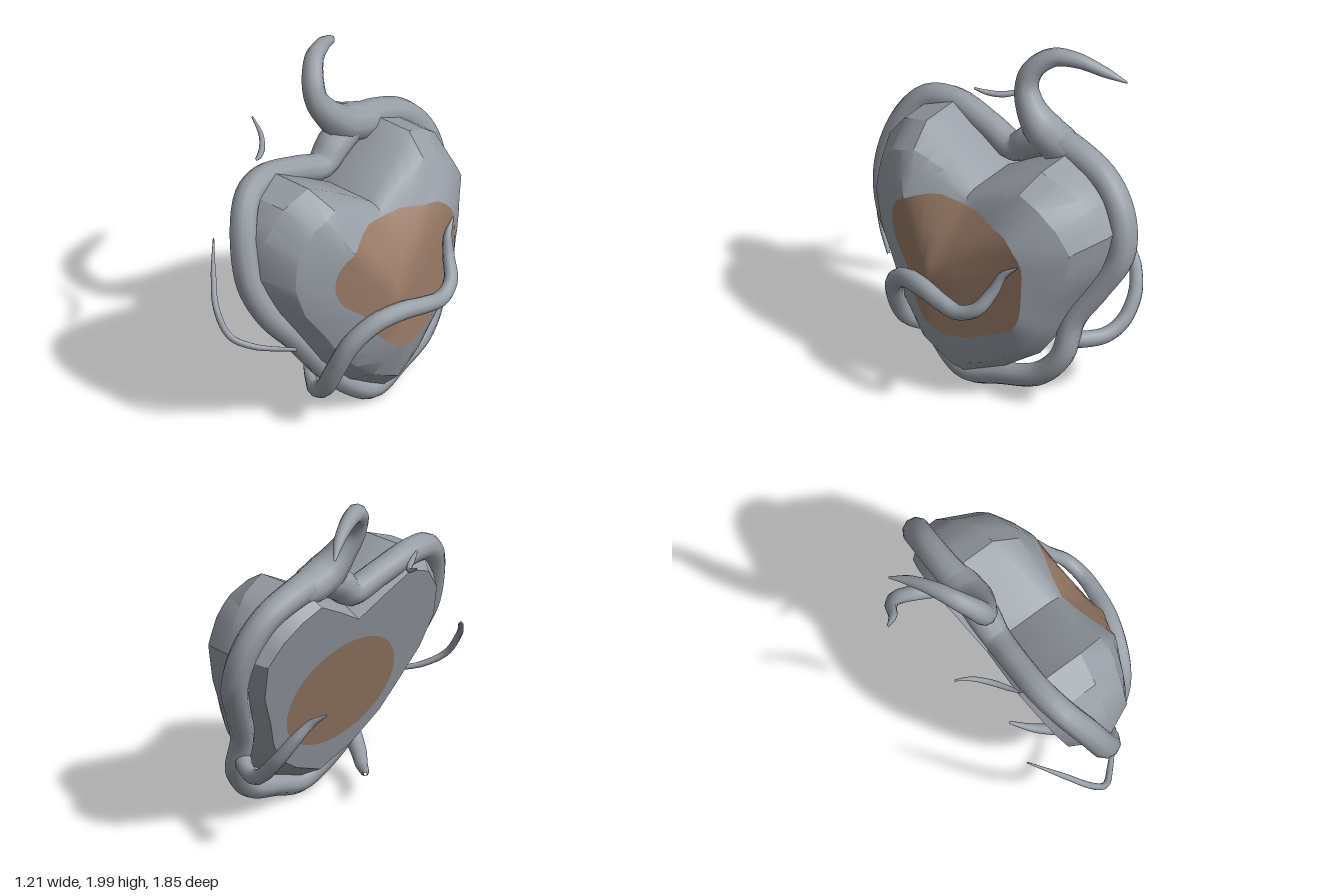
import * as THREE from 'three';
import { toCreasedNormals } from 'three/addons/utils/BufferGeometryUtils.js';

const stone = new THREE.MeshStandardMaterial({ color: 0x989ea6 });
stone.name = 'grey stone';
const rust = new THREE.MeshStandardMaterial({ color: 0x9a7b68 });
rust.name = 'rusty brown';

// Heart rim (z, y, x) with the matching corner of the painted patch (z, y)
const OUTLINE = [
  [0, 1.28, 0.18, 0, 1.22], [0.2, 1.4, 0.1, 0.15, 1.245], [0.42, 1.52, 0.08, 0.3, 1.2],
  [0.6, 1.45, 0.05, 0.4, 1.14], [0.73, 1.28, 0.02, 0.46, 1.06], [0.77, 1.05, 0.03, 0.47, 0.95],
  [0.71, 0.82, 0.06, 0.42, 0.84], [0.58, 0.6, 0.1, 0.3, 0.74], [0.46, 0.41, 0.15, 0.25, 0.62],
  [0.25, 0.22, 0.22, 0.12, 0.5], [0, 0.1, 0.28, 0, 0.44], [-0.25, 0.2, 0.22, -0.13, 0.46],
  [-0.45, 0.33, 0.15, -0.3, 0.53], [-0.56, 0.5, 0.1, -0.43, 0.6], [-0.64, 0.68, 0.05, -0.48, 0.72],
  [-0.77, 0.92, 0, -0.49, 0.88], [-0.82, 1.18, 0, -0.49, 1.03], [-0.72, 1.34, 0.03, -0.44, 1.12],
  [-0.58, 1.45, 0.08, -0.36, 1.19], [-0.42, 1.52, 0.1, -0.26, 1.2], [-0.2, 1.4, 0.14, -0.12, 1.23],
];
const lerp = THREE.MathUtils.lerp;
const clamp = THREE.MathUtils.clamp;

// Tilted flat back and faceted front of the heart
const backX = (y) => 0.1 - 0.3 * y;
function frontX(z, y) {
  const facets = Math.min(
    0.487,
    0.485 - 0.44 * (z - 0.12),
    0.485 + 0.17 * (z - 0.12),
    0.485 - 0.468 * (y - 0.95),
    0.485 + 0.78 * (y - 0.35)
  );
  const fold = Math.max(0, 1 - Math.abs(z) / 0.35) * clamp((y - 0.85) / 0.37, 0, 1);
  return facets - 0.085 * fold;
}

// Rings of points from the back centre, over the rim, to the front centre
function heartRings() {
  const n = OUTLINE.length;
  const steps = n * 2;
  const patchCurve = new THREE.CatmullRomCurve3(
    OUTLINE.map((o) => new THREE.Vector3(0, o[4], o[3])), true);
  const rings = Array.from({ length: 11 }, () => []);
  for (let i = 0; i < steps; i++) {
    const a = OUTLINE[i >> 1];
    const b = OUTLINE[((i >> 1) + 1) % n];
    const f = (i % 2) / 2;
    const [z, y, x] = [0, 1, 2].map((k) => lerp(a[k], b[k], f));
    const p = patchCurve.getPoint(i / steps);
    const angle = Math.atan2(p.y - 0.85, p.z);
    const ez = 0.43 * Math.cos(angle);
    const ey = 0.73 + 0.34 * Math.sin(angle);
    const plateY = lerp(0.8, y, 0.86);
    const px = frontX(p.z, p.y);
    const slope = (k) => [lerp(x, px, k ** 0.42), lerp(y, p.y, k), lerp(z, p.z, k)];
    const inner = (k) => {
      const zz = lerp(p.z, 0.1, k);
      const yy = lerp(p.y, 0.75, k);
      return [frontX(zz, yy), yy, zz];
    };
    [
      [backX(0.73), 0.73, 0], [backX(ey), ey, ez], [backX(plateY), plateY, z * 0.88],
      [backX(y) + 0.15, y, z], [x, y, z], slope(0.3), slope(0.65),
      [px, p.y, p.z], inner(0.35), inner(0.7), inner(1),
    ].forEach((v, k) => rings[k].push(v));
  }
  return rings;
}

function skin(rings, name, material, crease) {
  const count = rings[0].length;
  const index = [];
  for (let k = 0; k < rings.length - 1; k++) {
    for (let i = 0; i < count; i++) {
      const j = (i + 1) % count;
      const a = k * count + i, b = k * count + j;
      index.push(a, b, b + count, a, b + count, a + count);
    }
  }
  const g = new THREE.BufferGeometry();
  g.setAttribute('position', new THREE.Float32BufferAttribute(rings.flat(2), 3));
  g.setIndex(index);
  const mesh = new THREE.Mesh(toCreasedNormals(g, crease), material);
  mesh.name = name;
  return mesh;
}

// Tapered tube through points of x, y, z, radius
function vine(name, points, closed = false, segments = 48) {
  const curve = new THREE.CatmullRomCurve3(
    points.map((p) => new THREE.Vector3(p[0], p[1], p[2])), closed);
  const sides = 10;
  const g = new THREE.TubeGeometry(curve, segments, 1, sides, closed);
  const pos = g.attributes.position;
  const v = new THREE.Vector3();
  const spans = closed ? points.length : points.length - 1;
  for (let i = 0; i <= segments; i++) {
    const u = closed && i === segments ? 0 : i / segments;
    const t = curve.getUtoTmapping(u) * spans;
    const k = Math.min(Math.floor(t), spans - 1);
    const r = lerp(points[k][3], points[(k + 1) % points.length][3], t - k);
    const centre = curve.getPointAt(u);
    for (let j = 0; j <= sides; j++) {
      const id = i * (sides + 1) + j;
      v.fromBufferAttribute(pos, id).sub(centre).multiplyScalar(r).add(centre);
      pos.setXYZ(id, v.x, v.y, v.z);
    }
  }
  const mesh = new THREE.Mesh(g, stone);
  mesh.name = name;
  return mesh;
}

export function createModel() {
  const model = new THREE.Group();
  model.name = 'vineHeart';

  // Faceted heart with a painted patch on each broad face
  const rings = heartRings();
  model.add(
    skin(rings.slice(0, 2), 'backPatch', rust, 0.5),
    skin(rings.slice(1, 8), 'heartBody', stone, 0.5),
    skin(rings.slice(7), 'frontPatch', rust, 1.2)
  );

  // Thick vine wrapped round the rim
  model.add(vine('rimVine', [
    [-0.2, 1.365, 0, 0.085], [-0.22, 1.42, 0.2, 0.08], [-0.23, 1.48, 0.45, 0.08],
    [-0.2, 1.45, 0.62, 0.08], [-0.13, 1.3, 0.74, 0.08], [-0.04, 1.02, 0.79, 0.08],
    [0.04, 0.8, 0.72, 0.075], [0.1, 0.57, 0.54, 0.07], [0.15, 0.35, 0.38, 0.07],
    [0.19, 0.18, 0.22, 0.068], [0.22, 0.07, 0.03, 0.066], [0.2, 0.12, -0.2, 0.066],
    [0.17, 0.2, -0.45, 0.068], [0.13, 0.36, -0.59, 0.07], [0.06, 0.58, -0.62, 0.07],
    [-0.02, 0.8, -0.74, 0.074], [-0.09, 1.02, -0.84, 0.082], [-0.14, 1.23, -0.81, 0.084],
    [-0.18, 1.4, -0.68, 0.084], [-0.2, 1.49, -0.48, 0.088], [-0.2, 1.52, -0.27, 0.1],
    [-0.2, 1.45, -0.11, 0.1],
  ], true, 110));

  // Hooked stem growing out of the rim vine
  model.add(vine('hookedStem', [
    [-0.19, 1.47, -0.46, 0.08], [-0.2, 1.51, -0.32, 0.115], [-0.205, 1.56, -0.2, 0.115],
    [-0.225, 1.66, -0.09, 0.085], [-0.26, 1.76, -0.035, 0.068],
    [-0.3, 1.86, -0.05, 0.065], [-0.37, 1.94, -0.14, 0.056], [-0.43, 1.94, -0.27, 0.045],
    [-0.5, 1.88, -0.42, 0.03], [-0.565, 1.82, -0.52, 0.006],
  ], false, 60));

  // Tendril curling from the bottom across the front face
  model.add(vine('crossingTendril', [
    [-0.2, 0.2, 0.12, 0.008], [-0.1, 0.155, 0.22, 0.025], [0, 0.145, 0.3, 0.036],
    [0.1, 0.175, 0.38, 0.046], [0.22, 0.26, 0.44, 0.055], [0.31, 0.42, 0.45, 0.058],
    [0.39, 0.6, 0.4, 0.058], [0.46, 0.71, 0.27, 0.057], [0.52, 0.74, 0.1, 0.055],
    [0.55, 0.72, -0.05, 0.05], [0.56, 0.71, -0.18, 0.046], [0.53, 0.76, -0.29, 0.042],
    [0.46, 0.87, -0.35, 0.035], [0.42, 0.97, -0.39, 0.025], [0.39, 1.04, -0.47, 0.004],
  ], false, 70));

  // Loose tendrils behind the heart
  model.add(vine('thickBackTendril', [
    [0.1, 0.45, -0.58, 0.05], [0, 0.43, -0.66, 0.048], [-0.12, 0.425, -0.72, 0.046],
    [-0.23, 0.48, -0.755, 0.044], [-0.34, 0.6, -0.75, 0.042], [-0.42, 0.73, -0.69, 0.036],
    [-0.47, 0.82, -0.61, 0.025], [-0.545, 0.88, -0.56, 0.005],
  ]));
  model.add(vine('thinSideTendril', [
    [-0.46, 1.06, 0.62, 0.004], [-0.32, 0.95, 0.78, 0.016], [-0.2, 0.82, 0.89, 0.019],
    [-0.1, 0.68, 0.89, 0.02], [0, 0.61, 0.8, 0.018], [0.17, 0.575, 0.62, 0.01],
  ]));
  model.add(vine('smallTopTendril', [
    [-0.6, 1.585, 0.13, 0.005], [-0.5, 1.53, 0.17, 0.014], [-0.42, 1.505, 0.25, 0.018],
    [-0.37, 1.51, 0.33, 0.016], [-0.335, 1.53, 0.4, 0.006],
  ], false, 24));

  return model;
}
